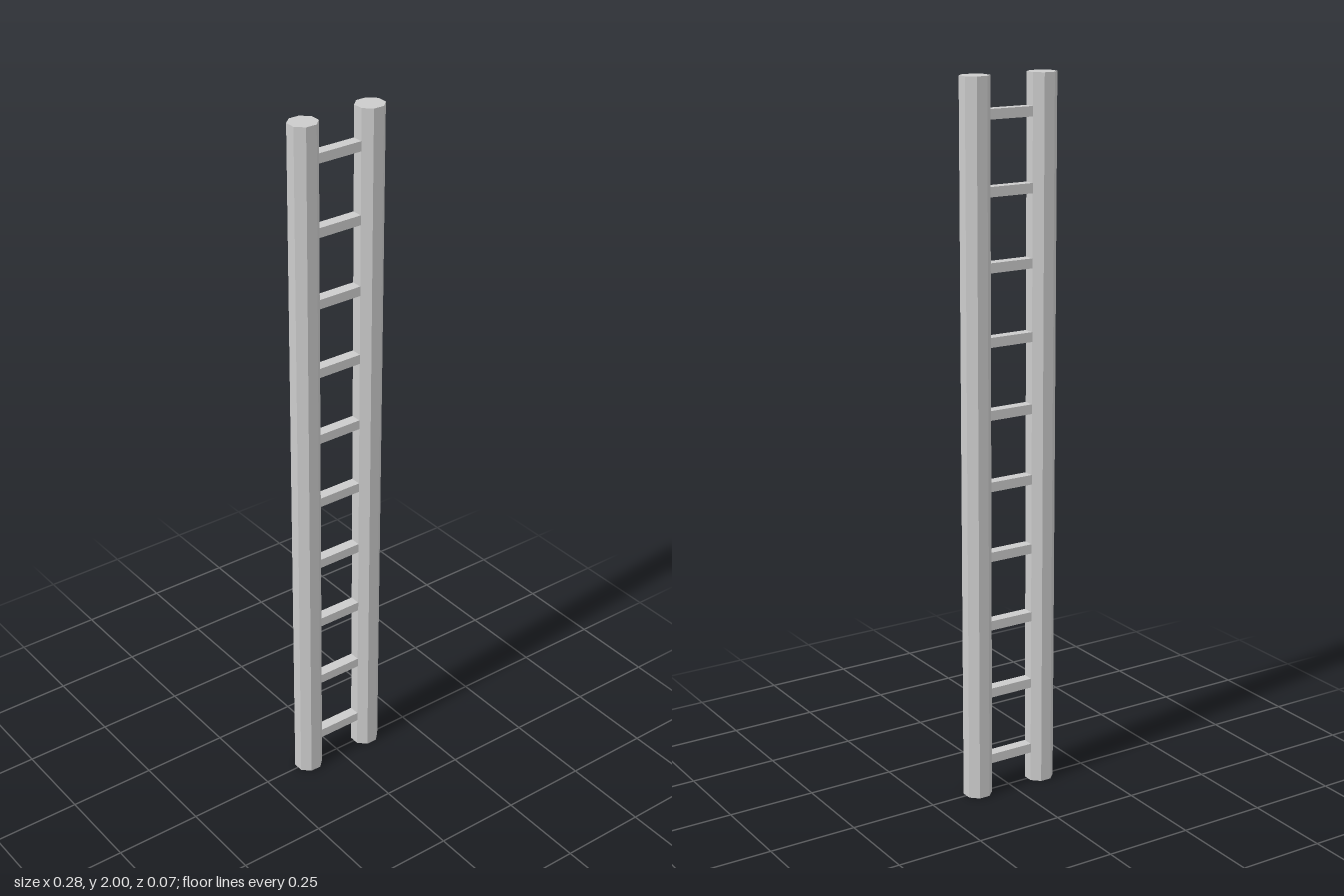
import * as THREE from 'three';

const HEIGHT = 2;
const RAIL_X = 0.103; // rail centre
const RUNGS = 10;

export function createModel() {
  const ladder = new THREE.Group();
  ladder.name = 'ladder';
  const material = new THREE.MeshStandardMaterial({ color: 0xcccccc, flatShading: true });

  // Octagonal side rails, turned so that flat sides face front and sideways
  const apothem = Math.cos(Math.PI / 8);
  const railGeometry = new THREE.CylinderGeometry(1 / apothem, 1 / apothem, HEIGHT, 8);
  railGeometry.rotateY(Math.PI / 8);
  railGeometry.scale(0.038, 1, 0.0365);
  for (const side of [-1, 1]) {
    const rail = new THREE.Mesh(railGeometry, material);
    rail.name = side > 0 ? 'leftRail' : 'rightRail';
    rail.position.set(side * RAIL_X, HEIGHT / 2, 0);
    ladder.add(rail);
  }

  // Evenly spaced square-edged rungs, ends set just inside the rails
  const rungGeometry = new THREE.BoxGeometry(0.136, 0.027, 0.031);
  const spacing = HEIGHT / RUNGS;
  for (let i = 0; i < RUNGS; i++) {
    const rung = new THREE.Mesh(rungGeometry, material);
    rung.name = `rung${i + 1}`;
    rung.position.y = (i + 0.5) * spacing;
    ladder.add(rung);
  }

  return ladder;
}
